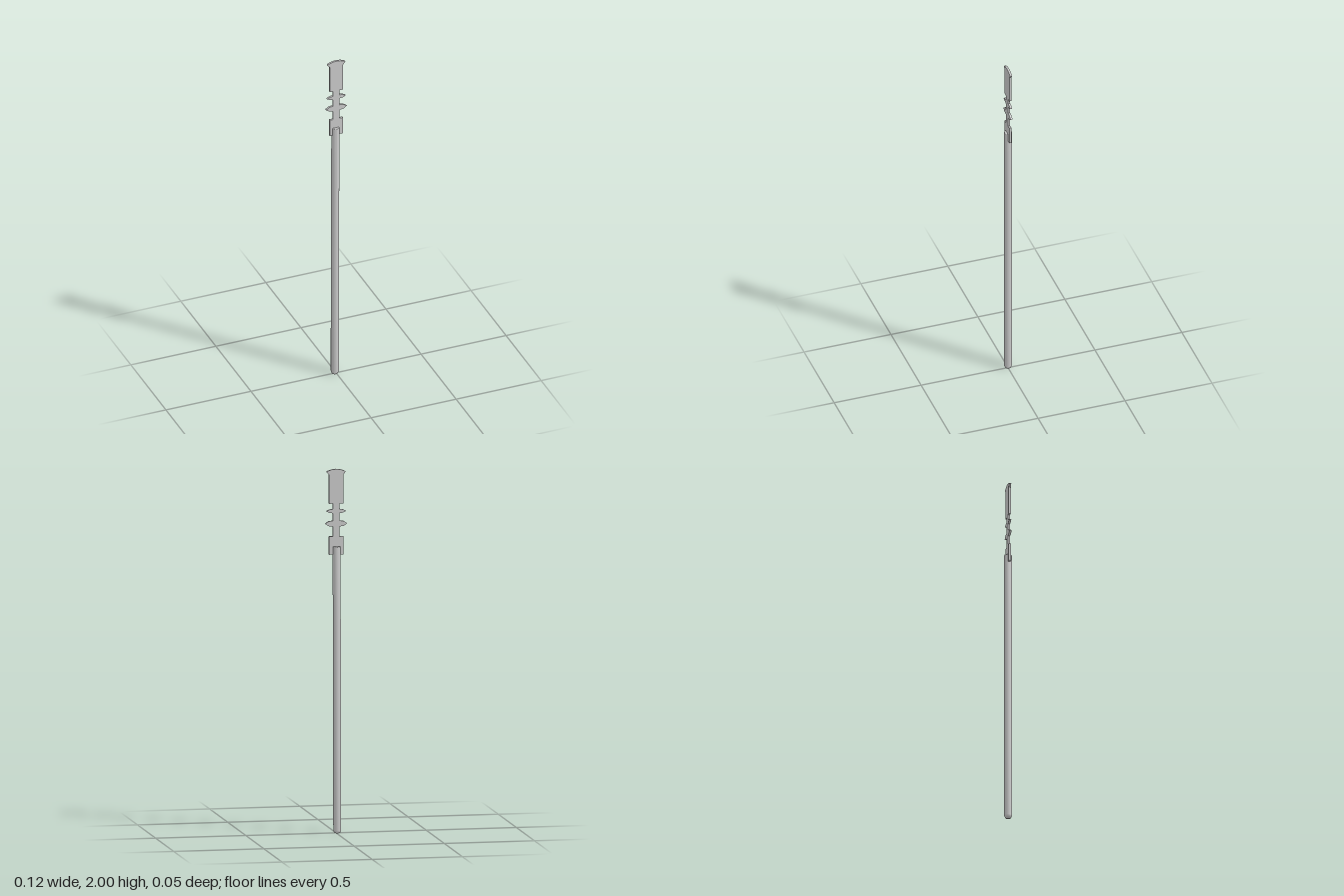
import * as THREE from 'three';

export function createModel() {
  const group = new THREE.Group();
  const material = new THREE.MeshStandardMaterial({ color: 0xcccccc });

  // Long round shaft with chamfered ends, leaning very slightly
  const profile = [
    [0, 0], [0.016, 0], [0.022, 0.014], [0.0225, 0.4], [0.0225, 0.8],
    [0.022, 1.2], [0.022, 1.57], [0.02, 1.575], [0, 1.575],
  ].map(([r, y]) => new THREE.Vector2(r, y));
  const shaftGeometry = new THREE.LatheGeometry(profile, 16);
  const pos = shaftGeometry.attributes.position;
  for (let i = 0; i < pos.count; i++) {
    const t = pos.getY(i) / 1.575;
    pos.setX(i, pos.getX(i) - 0.0065 + 0.0035 * t);
    pos.setZ(i, pos.getZ(i) - 0.002);
  }
  shaftGeometry.computeVertexNormals();
  const shaft = new THREE.Mesh(shaftGeometry, material);
  shaft.name = 'shaft';
  group.add(shaft);

  // Flat notched head: right half outline from bottom to top, then mirrored
  const half = [
    [0.039, 1.53], [0.039, 1.63], [0.019, 1.63], [0.019, 1.684],
    // large barb
    [0.042, 1.687], [0.061, 1.7], [0.042, 1.713], [0.019, 1.716], [0.019, 1.757],
    // small barb
    [0.038, 1.76], [0.055, 1.769], [0.038, 1.777], [0.019, 1.78],
    // upper block and flared crown
    [0.019, 1.81], [0.039, 1.81], [0.039, 1.968], [0.053, 1.985], [0.046, 1.99], [0.025, 1.997],
  ];
  const outline = [
    ...half, [0, 2],
    ...half.slice().reverse().map(([x, y]) => [-x, y]),
  ].map(([x, y]) => new THREE.Vector2(x, y));
  const depth = 0.012;
  const headGeometry = new THREE.ExtrudeGeometry(new THREE.Shape(outline), { depth, bevelEnabled: false });
  headGeometry.translate(0, 0, -depth / 2);
  const head = new THREE.Mesh(headGeometry, material);
  head.name = 'notchedHead';
  group.add(head);

  return group;
}
